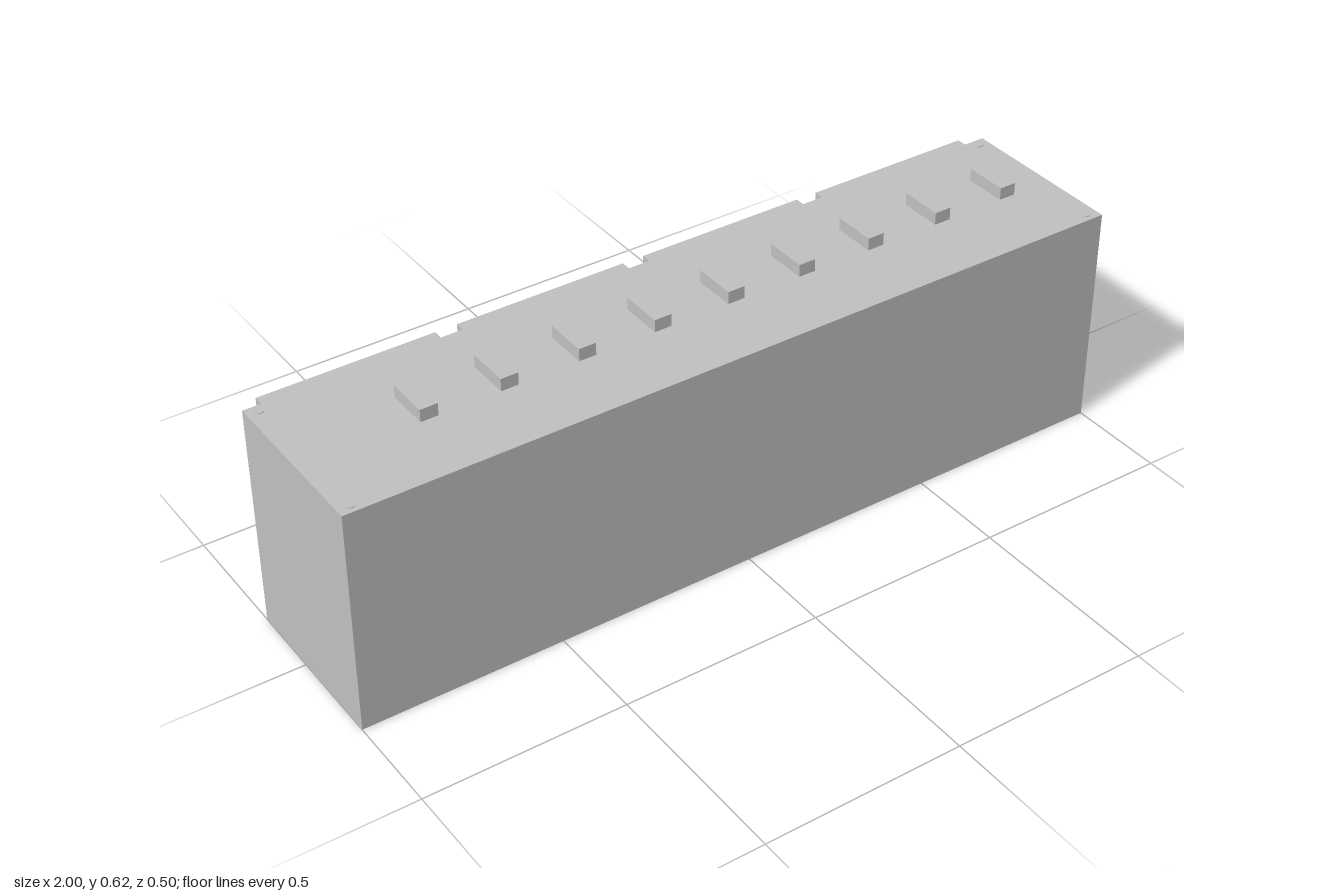
import * as THREE from 'three';

export function createModel() {
  const model = new THREE.Group();
  const grey = new THREE.MeshStandardMaterial({ color: 0xc0c0c0, flatShading: true });
  grey.name = 'light grey';

  const add = (name, geometry, x, y, z) => {
    const mesh = new THREE.Mesh(geometry, grey);
    mesh.name = name;
    mesh.position.set(x, y, z);
    model.add(mesh);
    return mesh;
  };
  // Box given by centre x, width and its y and z limits
  const box = (name, x, w, y0, y1, z0, z1) =>
    add(name, new THREE.BoxGeometry(w, y1 - y0, z1 - z0), x, (y0 + y1) / 2, (z0 + z1) / 2);

  // Main cabinet
  box('cabinet', 0, 2, 0, 0.568, -0.183, 0.25);

  // Four control units along the back
  const knob = new THREE.CylinderGeometry(0.016, 0.016, 0.019, 8).rotateX(Math.PI / 2);
  for (let i = 0; i < 4; i++) {
    const x = (i - 1.5) * 0.49;
    box('controlPanel', x, 0.435, 0.15, 0.562, -0.216, -0.183);
    box('screen', x, 0.36, 0.333, 0.52, -0.235, -0.226);
    for (let k = 0; k < 4; k++) add('knob', knob, x + (k - 1.5) * 0.078, 0.233, -0.2385);
    box('lowerRail', x, 0.41, 0.073, 0.102, -0.193, -0.183);
  }

  // Upright strips at the outer ends of the rails
  for (const side of [-1, 1]) box('railPost', side * 0.945, 0.02, 0.04, 0.15, -0.194, -0.183);

  // Row of blocks hovering above the top
  for (let i = 0; i < 9; i++) box('topBlock', -0.708 + i * 0.1938, 0.043, 0.592, 0.623, -0.015, 0.093);

  // Flat corner fasteners
  const disc = new THREE.CylinderGeometry(0.011, 0.011, 0.002, 8);
  for (const x of [-0.97, 0.97])
    for (const z of [-0.162, 0.228]) add('cornerFastener', disc, x, 0.569, z);

  return model;
}
